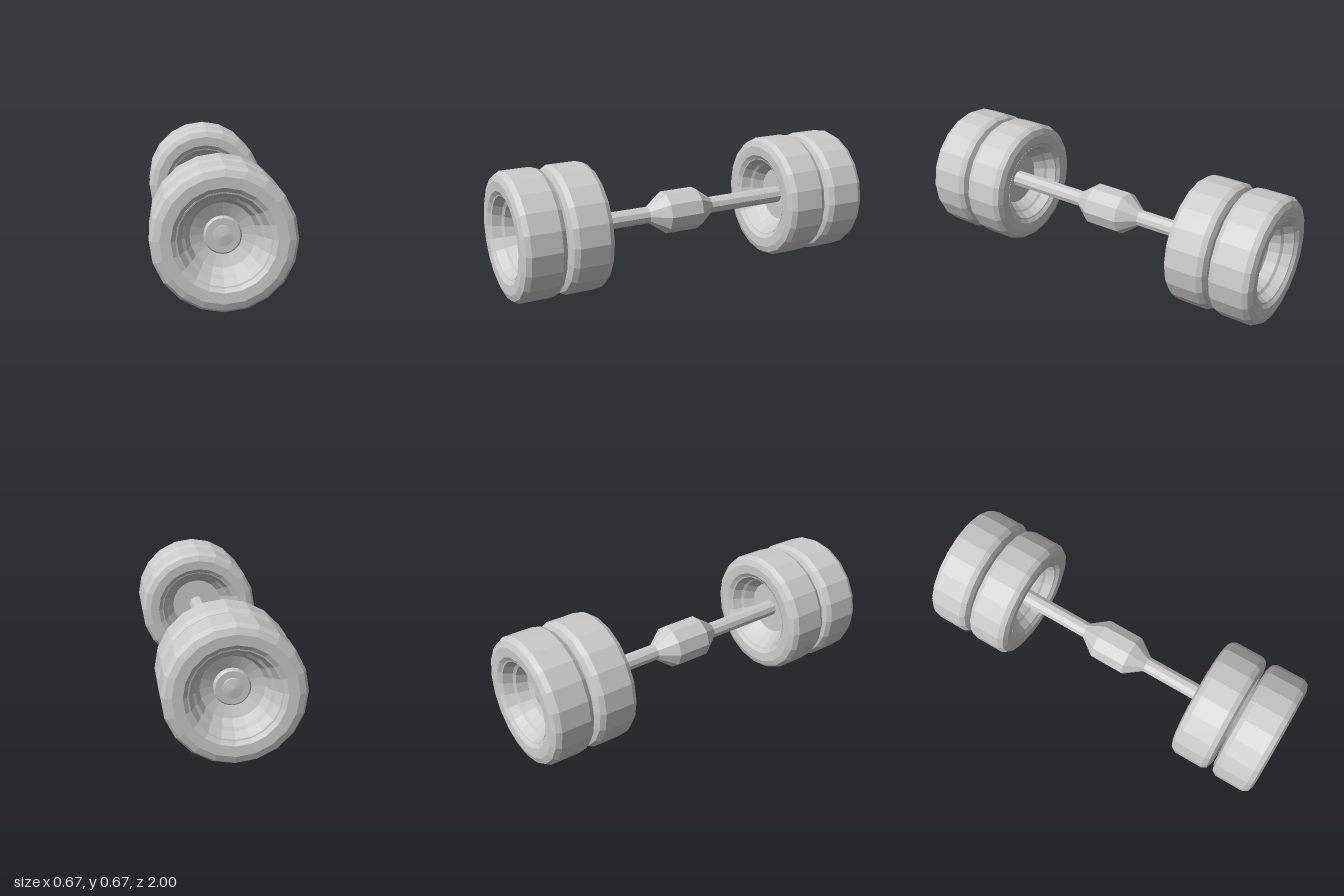
import * as THREE from 'three';

const material = new THREE.MeshStandardMaterial({ color: 0xcccccc, flatShading: true });
const AXLE_Y = 0.337;

// Revolves [radius, z] points around the z axis
function turned(name, points, sides, start = 0) {
  const profile = points.map(([r, z]) => new THREE.Vector2(r, z));
  const geometry = new THREE.LatheGeometry(profile, sides, start).rotateX(Math.PI / 2);
  const mesh = new THREE.Mesh(geometry, material);
  mesh.name = name;
  return mesh;
}

// Closed tyre ring, symmetric about its middle plane
const sidewall = [[0.337, 0.08], [0.322, 0.106], [0.29, 0.1175], [0.24, 0.115], [0.219, 0.1]];
const tyrePoints = [
  ...sidewall.map(([r, z]) => [r, -z]).reverse(),
  ...sidewall,
  [0.219, -0.1],
];

// Stepped dish on the outside of each axle end
const outerRim = [
  [0, -0.1], [0.22, -0.1], [0.22, 0.102], [0.213, 0.1], [0.19, 0.055],
  [0.174, 0.045], [0.153, -0.01], [0.085, -0.035], [0, -0.035],
];

// Plainer dish with a flat centre, facing the middle of the axle
const innerRim = [
  [0, -0.1], [0.22, -0.1], [0.22, 0.102], [0.213, 0.1], [0.19, 0.055],
  [0.178, 0.045], [0.145, -0.005], [0, -0.005],
];

const hubPoints = [
  [0.088, -0.04], [0.088, -0.012], [0.081, -0.004], [0.048, -0.004], [0.048, 0.01], [0, 0.017],
];

function wheel(name, rimPoints, z, facing) {
  const group = new THREE.Group();
  group.name = name;
  group.add(turned('tyre', tyrePoints, 20), turned('rim', rimPoints, 20));
  group.position.z = z;
  group.rotation.y = facing;
  return group;
}

export function createModel() {
  const model = new THREE.Group();
  model.name = 'dualWheelAxle';

  const assembly = new THREE.Group();
  assembly.name = 'axleAssembly';
  assembly.position.y = AXLE_Y;
  model.add(assembly);

  // Axle tube and central differential housing
  assembly.add(turned('axle', [[0.045, -0.66], [0.045, 0.66]], 10, Math.PI / 2));
  assembly.add(turned('differential', [
    [0.045, -0.19], [0.115, -0.095], [0.115, 0.095], [0.045, 0.19],
  ], 10, Math.PI / 2));

  // Twin wheels at each end
  for (const [side, turn] of [['front', 0], ['back', Math.PI]]) {
    const pair = new THREE.Group();
    pair.name = `${side}WheelPair`;
    const outer = wheel('outerWheel', outerRim, 0.8825, 0);
    outer.add(turned('hub', hubPoints, 20));
    pair.add(outer, wheel('innerWheel', innerRim, 0.635, Math.PI));
    pair.rotation.y = turn;
    assembly.add(pair);
  }
  return model;
}
